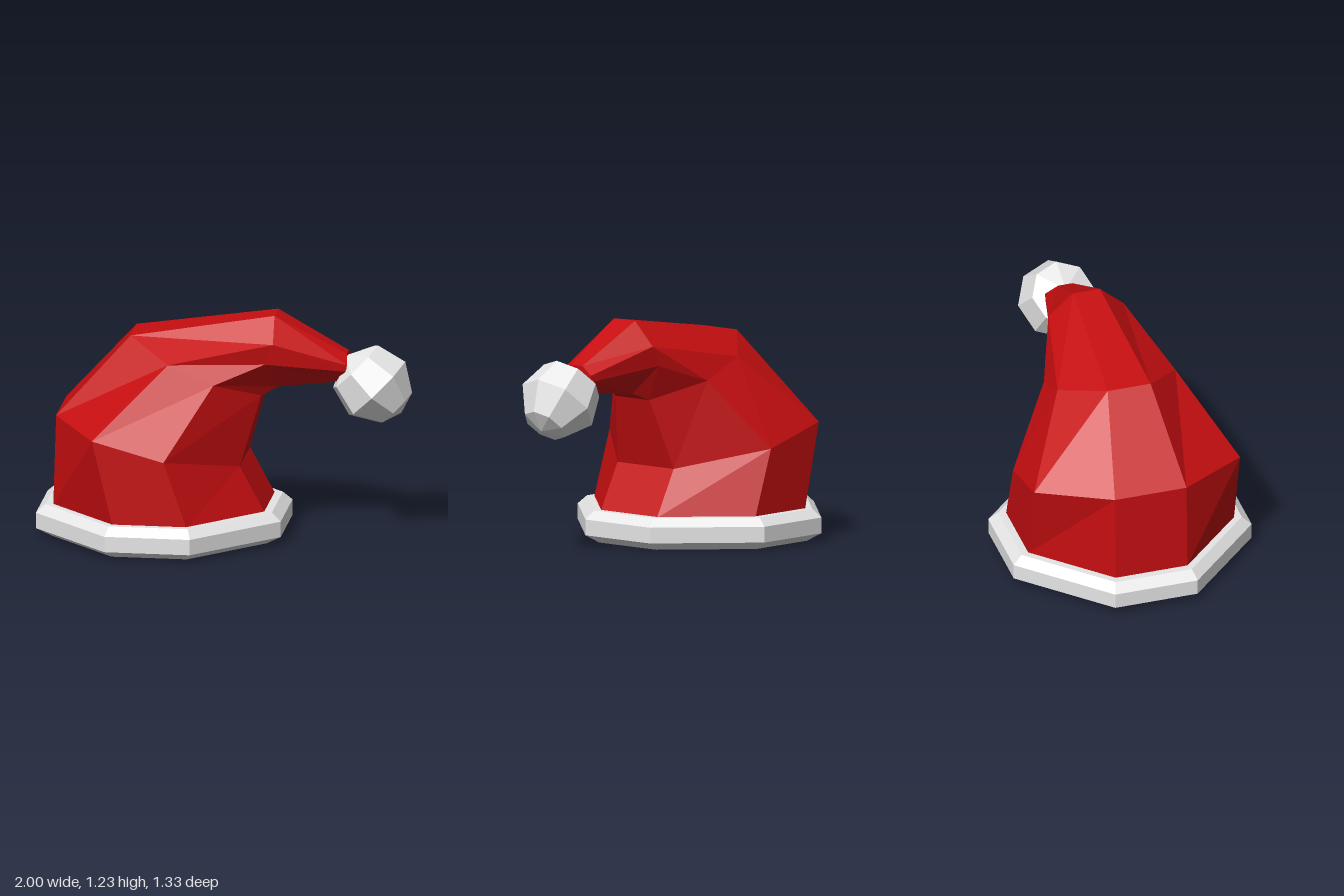
import * as THREE from 'three';

// Eight-sided ring from four [x, y] points (right to left), mirrored across z.
// Outer points sit at z = a, middle points at z = b.
function ring(pts, a, b) {
  const z = [a, b, b, a];
  const half = pts.map(([x, y], i) => [x, y, z[i]]);
  return [...half, ...half.map(([x, y, d]) => [x, y, -d]).reverse()];
}

// Skin a stack of rings and close both ends.
function loft(rings) {
  const n = rings[0].length;
  const pos = rings.flat(2);
  const index = [];
  for (let k = 0; k < rings.length - 1; k++) {
    for (let i = 0; i < n; i++) {
      const j = (i + 1) % n;
      const p = k * n + i, q = k * n + j;
      index.push(p, p + n, q, p + n, q + n, q);
    }
  }
  const top = (rings.length - 1) * n;
  for (let i = 1; i < n - 1; i++) {
    index.push(0, i, i + 1);
    index.push(top, top + i + 1, top + i);
  }
  const g = new THREE.BufferGeometry();
  g.setAttribute('position', new THREE.Float32BufferAttribute(pos, 3));
  g.setIndex(index);
  const flat = g.toNonIndexed();
  flat.computeVertexNormals();
  return flat;
}

export function createModel() {
  const red = new THREE.MeshStandardMaterial({ name: 'red felt', color: 0xc60e10, flatShading: true });
  const white = new THREE.MeshStandardMaterial({ name: 'white fur', color: 0xe6e6e6, flatShading: true });
  const group = new THREE.Group();
  group.name = 'floppyHat';
  const add = (name, geometry, material) => {
    const mesh = new THREE.Mesh(geometry, material);
    mesh.name = name;
    group.add(mesh);
    return mesh;
  };

  // Bevelled fur brim
  const brimRing = (y, s) => ring(
    [0.66, 0.23, -0.23, -0.66].map((x) => [-0.34 + x * s, y]), 0.23 * s, 0.665 * s);
  add('brim', loft([brimRing(0, 0.88), brimRing(0.045, 1), brimRing(0.13, 1), brimRing(0.175, 0.925)]), white);

  // Bent cone, folding over towards +x
  add('cone', loft([
    ring([[0.23, 0.17], [-0.14, 0.17], [-0.54, 0.17], [-0.91, 0.17]], 0.2, 0.575),
    ring([[0.095, 0.42], [-0.265, 0.525], [-0.65, 0.63], [-0.895, 0.665]], 0.2, 0.575),
    ring([[0.2, 0.795], [-0.03, 0.895], [-0.275, 1.0], [-0.505, 1.1]], 0.12, 0.33),
    ring([[0.285, 0.835], [0.23, 0.99], [0.275, 1.1], [0.265, 1.225]], 0.075, 0.21),
    ring([[0.64, 0.87], [0.65, 0.94], [0.66, 0.975], [0.65, 1.02]], 0.04, 0.11),
  ]), red);

  // Faceted pompom, its axis tilted along the fall of the tip
  const profile = [[0, -0.22], [0.121, -0.181], [0.215, -0.035], [0.171, 0.13], [0, 0.21]];
  const pompom = add('pompom', new THREE.LatheGeometry(
    profile.map(([r, y]) => new THREE.Vector2(r, y)), 8), white);
  pompom.position.set(0.783, 0.85, 0);
  pompom.rotation.z = Math.PI / 4;

  return group;
}
